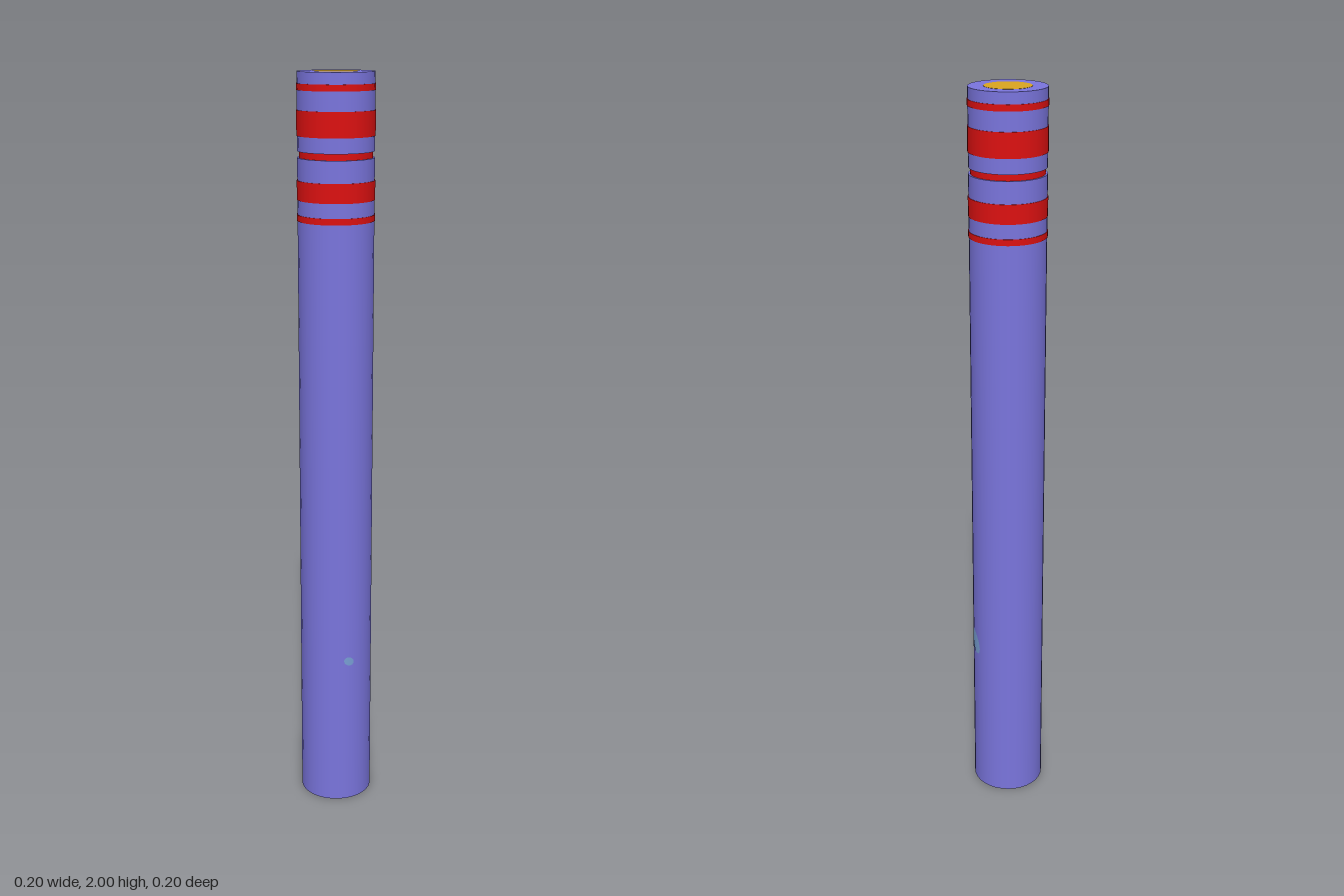
import * as THREE from 'three';

export function createModel() {
  const model = new THREE.Group();
  const mat = (name, color) => Object.assign(new THREE.MeshStandardMaterial({ color }), { name });
  const violet = mat('violet', 0x7a75dd);
  const red = mat('red', 0xdd1111);
  const gold = mat('gold', 0xdaa520);
  const paleBlue = mat('pale blue', 0x789fd4);
  const R = 0.0985;

  const add = (name, geometry, material) => {
    const mesh = new THREE.Mesh(geometry, material);
    mesh.name = name;
    model.add(mesh);
    return mesh;
  };
  // Capped cylinder between two heights
  const rod = (name, y0, y1, radius, material) => {
    add(name, new THREE.CylinderGeometry(radius, radius, y1 - y0, 32), material)
      .position.y = (y0 + y1) / 2;
  };

  // Shaft and head, separated by a narrow red groove
  rod('shaft', 0, 1.79, R, violet);
  rod('grooveCore', 1.79, 1.806, 0.094, red);
  rod('head', 1.806, 2, R, violet);

  // Red bands standing slightly proud
  [[1.632, 1.648], [1.685, 1.734], [1.844, 1.907], [1.955, 1.971]].forEach(([y0, y1], i) =>
    rod('band' + (i + 1), y0, y1, 0.1, red));

  // Gold disc in the top end
  rod('topDisc', 1.995, 2.0005, 0.06, gold);

  // Pale marks: tilted ellipses wrapped round the shaft
  const mark = (name, angle, y, width, height, tilt) => {
    const geometry = new THREE.RingGeometry(0, 1, 16, 4);
    geometry.scale(width / 2, height / 2, 1);
    geometry.rotateZ(tilt);
    const p = geometry.attributes.position;
    for (let i = 0; i < p.count; i++) {
      const a = angle + p.getX(i) / R;
      p.setXYZ(i, Math.sin(a) * 0.0992, y + p.getY(i), Math.cos(a) * 0.0992);
    }
    geometry.computeVertexNormals();
    add(name, geometry, paleBlue);
  };
  mark('sideMark', 1.15, 0.47, 0.045, 0.075, 0.5);
  mark('frontMark', -0.31, 0.43, 0.03, 0.024, -0.5);

  return model;
}
